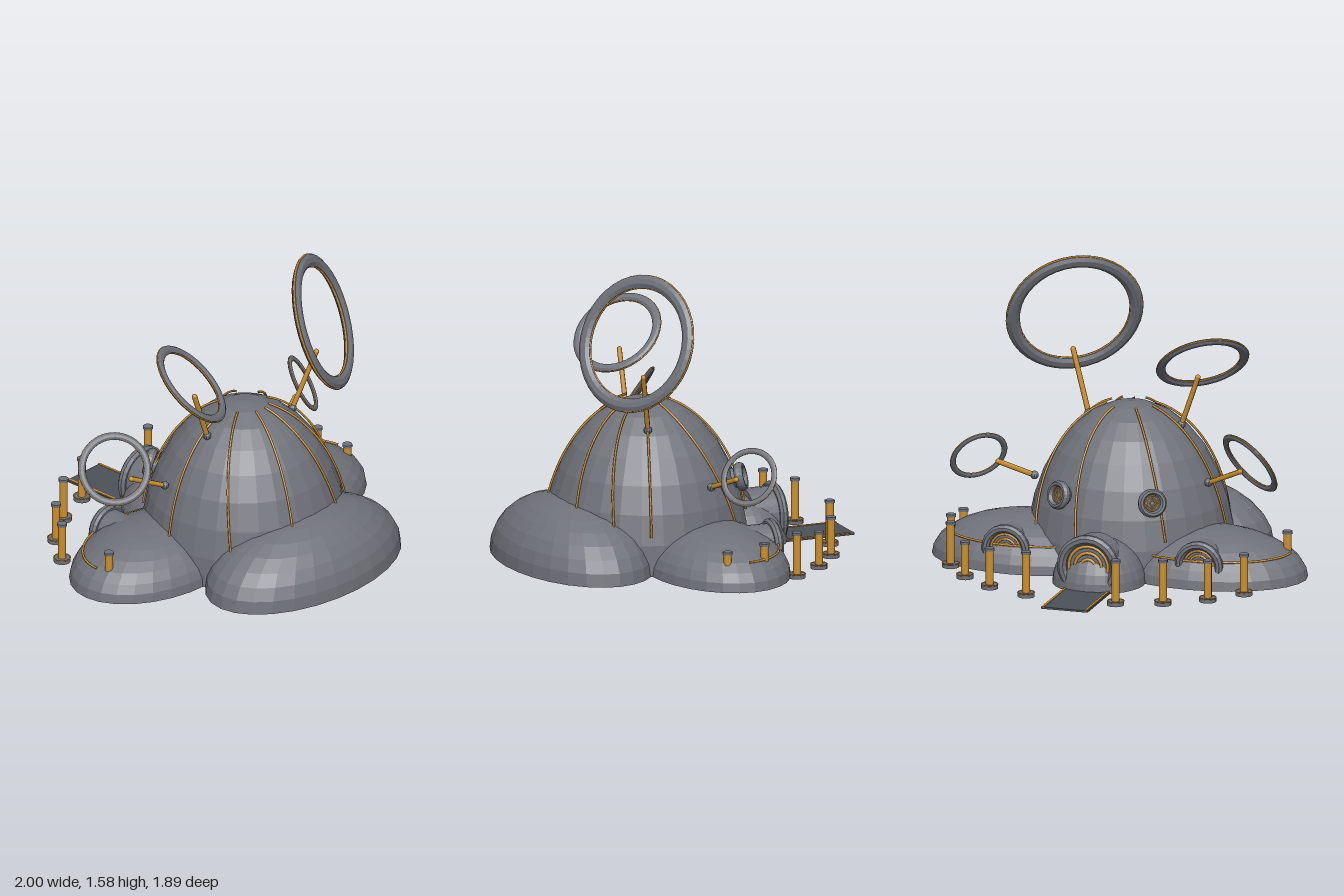
import * as THREE from 'three';

const grey = new THREE.MeshStandardMaterial({ color: 0x70727a, flatShading: true, side: THREE.DoubleSide });
grey.name = 'hullGrey';
const slate = new THREE.MeshStandardMaterial({ color: 0x4c5257, flatShading: true });
slate.name = 'rampSlate';
const gold = new THREE.MeshStandardMaterial({ color: 0xcc902f });
gold.name = 'gold';

const V = (x, y, z) => new THREE.Vector3(x, y, z);
const Z = V(0, 0, 1);

export function createModel() {
  const model = new THREE.Group();
  const add = (name, geo, mat, parent = model) => {
    const mesh = new THREE.Mesh(geo, mat);
    mesh.name = name;
    parent.add(mesh);
    return mesh;
  };
  const group = (name, pos, normal = Z) => {
    const g = new THREE.Group();
    g.name = name;
    g.position.copy(pos);
    g.quaternion.setFromUnitVectors(Z, normal.clone().normalize());
    model.add(g);
    return g;
  };

  // bevelled ring around the z axis
  const ringGeo = (inner, outer, depth, seg = 32) => {
    const h = depth / 2, b = (outer - inner) * 0.3;
    const profile = [[outer, -h * 0.4], [outer, h * 0.4], [outer - b, h], [inner + b, h],
      [inner, h * 0.4], [inner, -h * 0.4], [inner + b, -h], [outer - b, -h], [outer, -h * 0.4]];
    return new THREE.LatheGeometry(profile.map(p => new THREE.Vector2(...p)), seg).rotateX(Math.PI / 2);
  };
  const tube = (points, r, seg = 24) =>
    new THREE.TubeGeometry(new THREE.CatmullRomCurve3(points), seg, r, 6);

  // open half-ellipsoid shells
  const shell = (name, x, z, rx, h, rz) => {
    const geo = new THREE.SphereGeometry(1, 28, 8, 0, Math.PI * 2, 0, Math.PI / 2).scale(rx, h, rz);
    add(name, geo, grey).position.set(x, 0.04, z);
  };
  shell('mainDome', 0, 0.165, 0.54, 0.82, 0.53);
  shell('frontLobe', 0, 0.57, 0.625, 0.34, 0.375);
  shell('leftLobe', 0.48, -0.02, 0.52, 0.245, 0.36);
  shell('rightLobe', -0.48, -0.02, 0.52, 0.245, 0.36);
  shell('backLobe', 0, -0.37, 0.24, 0.24, 0.24);

  // gold ribs over the main dome: azimuth at the top and at the foot, from the front
  const ribs = [[-18, -18], [-65, -55], [-100, -95], [-151, -143], [151, 165],
    [102, 130], [69, 70], [36, 49], [12, 23]];
  for (const [a0, a1] of ribs) {
    const pts = [];
    for (let i = 0; i <= 10; i++) {
      const t = THREE.MathUtils.degToRad(13 + 6.3 * i);
      const a = THREE.MathUtils.degToRad(a0 + (a1 - a0) * i / 10);
      pts.push(V(0.546 * Math.sin(t) * Math.sin(a), 0.043 + 0.83 * Math.cos(t),
        0.165 + 0.536 * Math.sin(t) * Math.cos(a)));
    }
    add('domeRib', tube(pts, 0.006, 30), gold);
  }

  // gold bands around the back of the side lobes
  for (const s of [1, -1]) {
    const pts = [];
    for (let i = 0; i <= 12; i++) {
      const a = Math.PI * i / 12 * 0.8;
      pts.push(V(s * (0.48 + 0.437 * Math.cos(a)), 0.178, -0.02 - 0.304 * Math.sin(a)));
    }
    add('lobeBand', tube(pts, 0.006), gold);
  }

  // round openings: tunnel, flange and concentric gold rings, facing local +z
  const opening = (name, pos, normal, tunnelR, flangeR, length) => {
    const g = group(name, pos, normal);
    const tunnel = new THREE.CylinderGeometry(tunnelR, tunnelR, length, 24).rotateX(Math.PI / 2);
    add('tunnel', tunnel, grey, g).position.z = -length / 2;
    add('flange', ringGeo(tunnelR * 0.82, flangeR, 0.045, 24), grey, g);
    for (const k of [0.74, 0.5, 0.26]) {
      add('goldRing', new THREE.TorusGeometry(tunnelR * k, tunnelR * 0.06, 6, 24), gold, g);
    }
  };
  opening('backDoor', V(0, 0.168, -0.55), V(0, 0, -1), 0.142, 0.166, 0.16);
  for (const s of [1, -1]) {
    opening('sideDoor', V(s * 0.52, 0.155, -0.315), V(0, 0, -1), 0.105, 0.128, 0.145);
    opening('porthole', V(s * 0.252, 0.45, -0.262), V(s * 0.5, 0.24, -0.83), 0.052, 0.074, 0.06);
  }

  // entrance ramp with gold edges
  add('ramp', new THREE.BoxGeometry(0.25, 0.01, 0.38), slate).position.set(0, 0.045, -0.76);
  for (const s of [1, -1]) {
    add('rampEdge', new THREE.BoxGeometry(0.012, 0.005, 0.38), gold).position.set(s * 0.115, 0.051, -0.76);
  }

  // posts: x, z, foot height, top height
  const posts = [[-0.785, -0.385, 0.04, 0.26], [-0.645, -0.555, 0.04, 0.26], [-0.445, -0.685, 0.04, 0.28],
    [-0.217, -0.765, 0.04, 0.28], [0.27, -0.75, 0.04, 0.28], [0.495, -0.66, 0.04, 0.255],
    [0.675, -0.515, 0.04, 0.235], [0.81, -0.335, 0.04, 0.28],
    [0.875, 0.08, 0.165, 0.235], [0.875, -0.125, 0.165, 0.26], [-0.885, 0.03, 0.165, 0.28]];
  for (const [x, z, y0, y1] of posts) {
    const g = group('post', V(x, y0, z));
    const h = y1 - y0;
    add('postShaft', new THREE.CylinderGeometry(0.021, 0.021, h - 0.012, 12), gold, g).position.y = h / 2 - 0.006;
    add('postCap', new THREE.CylinderGeometry(0.026, 0.026, 0.014, 12), grey, g).position.y = h - 0.007;
    if (y0 < 0.1) {
      add('postFoot', new THREE.CylinderGeometry(0.044, 0.044, 0.022, 16), grey, g).position.y = 0.011;
      add('postFootTrim', new THREE.TorusGeometry(0.043, 0.003, 5, 16).rotateX(Math.PI / 2), gold, g).position.y = 0.022;
    }
  }

  // tilted hoops carried on gold stalks
  const hoop = (pos, normal, R, foot, tip) => {
    const g = group('hoop', pos, normal);
    add('hoopBody', ringGeo(R * 0.81, R * 0.99, R * 0.12, 40), grey, g);
    for (const k of [0.815, 0.985]) {
      add('hoopTrim', new THREE.TorusGeometry(R * k, R * 0.018, 6, 40), gold, g);
    }
    const mid = foot.clone().lerp(tip, 0.5);
    add('hoopStalk', tube([foot, mid, tip], 0.014, 8), gold);
    add('stalkFoot', new THREE.SphereGeometry(0.022, 10, 8), grey).position.copy(foot);
    add('stalkTip', new THREE.SphereGeometry(0.014, 8, 6), gold).position.copy(tip);
  };
  hoop(V(0.37, 1.245, 0.37), V(0.45, 0.357, 0.817), 0.358, V(0.26, 0.75, 0.26), V(0.365, 1.06, 0.33));
  hoop(V(-0.39, 1.1, 0.15), V(0.383, 0.718, 0.58), 0.243, V(-0.275, 0.76, 0.155), V(-0.365, 1.02, 0.15));
  hoop(V(-0.72, 0.655, -0.08), V(-0.5, 0.53, 0.69), 0.19, V(-0.46, 0.5, 0.03), V(-0.65, 0.59, -0.03));
  hoop(V(0.735, 0.577, -0.1), V(0.57, 0.48, 0.67), 0.156, V(0.465, 0.47, -0.005), V(0.64, 0.545, -0.07));

  return model;
}
